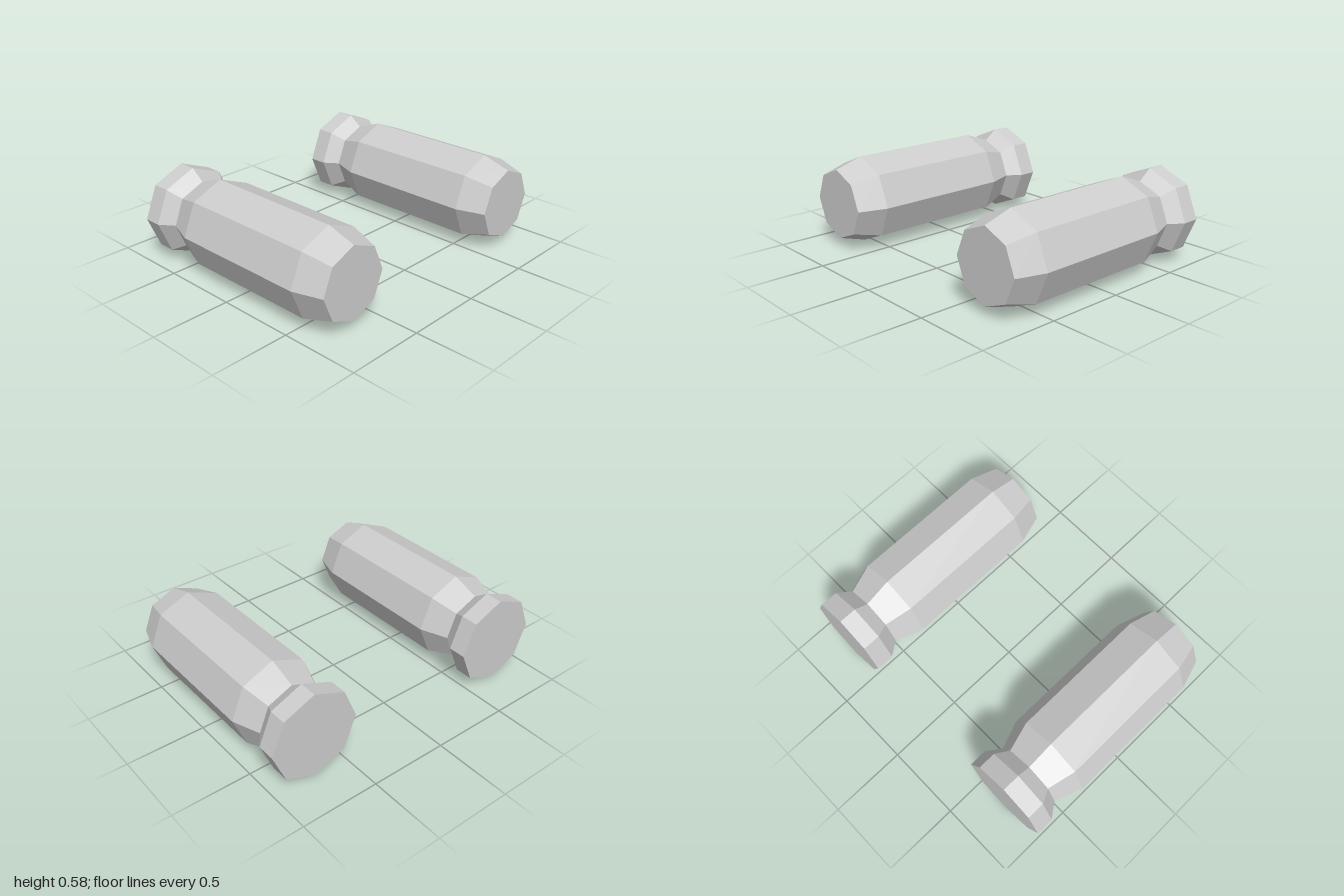
import * as THREE from 'three';

export function createModel() {
  const model = new THREE.Group();
  const grey = new THREE.MeshStandardMaterial({ color: 0xcccccc, flatShading: true });
  grey.name = 'lightGrey';

  // Eight-sided profile, [radius, z] from the flared back end to the tapered nose
  const R = 0.2865;
  const profile = [
    [0, -0.735], [R, -0.735], [R, -0.62], [0.222, -0.53],
    [R, -0.355], [R, 0.55], [0.23, 0.735], [0, 0.735],
  ].map(([r, z]) => new THREE.Vector2(r, z));

  // Lay the lathe axis along z
  const geometry = new THREE.LatheGeometry(profile, 8).rotateX(Math.PI / 2);

  // A matching pair, the right one a touch higher
  for (const [name, x, y] of [['leftCanister', 0.7135, 0.2875], ['rightCanister', -0.7135, 0.2915]]) {
    const canister = new THREE.Mesh(geometry, grey);
    canister.name = name;
    canister.position.set(x, y, 0);
    model.add(canister);
  }
  return model;
}
